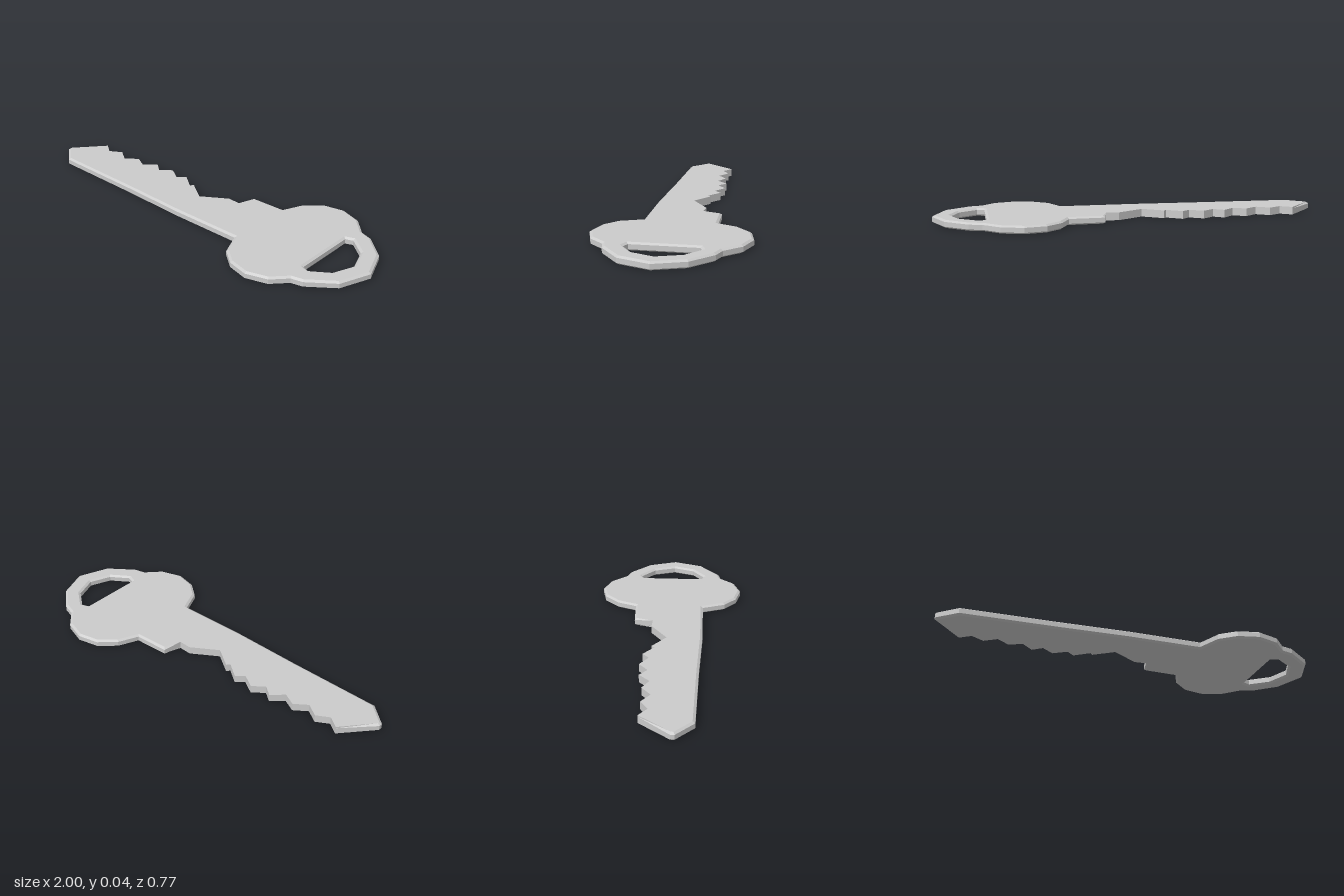
import * as THREE from 'three';

const THICKNESS = 0.04, CHAMFER = 0.008, INSET = 0.012;
const toPoints = list => list.map(([x, z]) => new THREE.Vector2(x, -z));

// Plan outline as x, z: tip, spine, round bow and shoulder
const body = toPoints([
  [-1, 0.07], [-1, 0.09], [-0.9, 0.175], [-0.42, 0.178], [-0.05, 0.186], [0.33, 0.18],
  [0.38, 0.297], [0.46, 0.36], [0.57, 0.385], [0.68, 0.35], [0.75, 0.275], [0.81, 0.26],
  [0.94, 0.16], [1, 0], [0.94, -0.155], [0.825, -0.255], [0.76, -0.275], [0.68, -0.355],
  [0.57, -0.39], [0.46, -0.365], [0.38, -0.29], [0.335, -0.187], [0.153, -0.178],
]);

// Cut edge of the blade, from the shoulder to the tip
const teeth = toPoints([
  [0.133, -0.08], [0.067, -0.083], [-0.067, 0.003], [-0.17, -0.067], [-0.184, -0.05],
  [-0.26, -0.105], [-0.3, -0.07], [-0.37, -0.113], [-0.43, -0.067], [-0.48, -0.105],
  [-0.54, -0.05], [-0.605, -0.083], [-0.67, -0.035], [-0.735, -0.078], [-0.8, -0.04],
  [-0.857, -0.08],
]);

// Ring hole in the bow
const hole = toPoints([
  [0.735, -0.17], [0.772, -0.185], [0.863, -0.115], [0.906, 0], [0.863, 0.11],
  [0.772, 0.173], [0.735, 0.16],
]);

// Moves each corner into the material along its mitre; corners in the sharp set stay put
function insetLoop(loop, sharp = []) {
  const n = loop.length;
  const normal = (a, b) => new THREE.Vector2(a.y - b.y, b.x - a.x).normalize();
  return loop.map((p, i) => {
    if (sharp.includes(p)) return p.clone();
    const n1 = normal(loop[(i + n - 1) % n], p), n2 = normal(p, loop[(i + 1) % n]);
    const mitre = n1.clone().add(n2).divideScalar(1 + n1.dot(n2));
    return p.clone().addScaledVector(mitre, INSET);
  });
}

function plateGeometry(outline, opening, sharp) {
  const positions = [];
  const put = (p, y) => positions.push(p.x, y, -p.y);
  const innerOutline = insetLoop(outline, sharp), innerOpening = insetLoop(opening);

  // Chamfer, wall and chamfer around both loops
  for (const [full, inner] of [[outline, innerOutline], [opening, innerOpening]]) {
    const rings = [
      [inner, 0], [full, CHAMFER], [full, THICKNESS - CHAMFER], [inner, THICKNESS],
    ];
    for (let r = 0; r < 3; r++) {
      const [low, y0] = rings[r], [high, y1] = rings[r + 1];
      for (let i = 0; i < full.length; i++) {
        const j = (i + 1) % full.length;
        put(low[i], y0); put(low[j], y0); put(high[j], y1);
        put(low[i], y0); put(high[j], y1); put(high[i], y1);
      }
    }
  }

  // Flat top and bottom faces
  const all = [...innerOutline, ...innerOpening];
  for (const [a, b, c] of THREE.ShapeUtils.triangulateShape(innerOutline, [innerOpening])) {
    for (const k of [a, b, c]) put(all[k], THICKNESS);
    for (const k of [a, c, b]) put(all[k], 0);
  }

  const geometry = new THREE.BufferGeometry();
  geometry.setAttribute('position', new THREE.Float32BufferAttribute(positions, 3));
  geometry.computeVertexNormals();
  return geometry;
}

export function createModel() {
  const group = new THREE.Group();
  group.name = 'key';
  const material = new THREE.MeshStandardMaterial({ color: 0xcccccc, flatShading: true });
  const plate = new THREE.Mesh(plateGeometry([...body, ...teeth], hole, teeth), material);
  plate.name = 'keyPlate';
  group.add(plate);
  return group;
}
